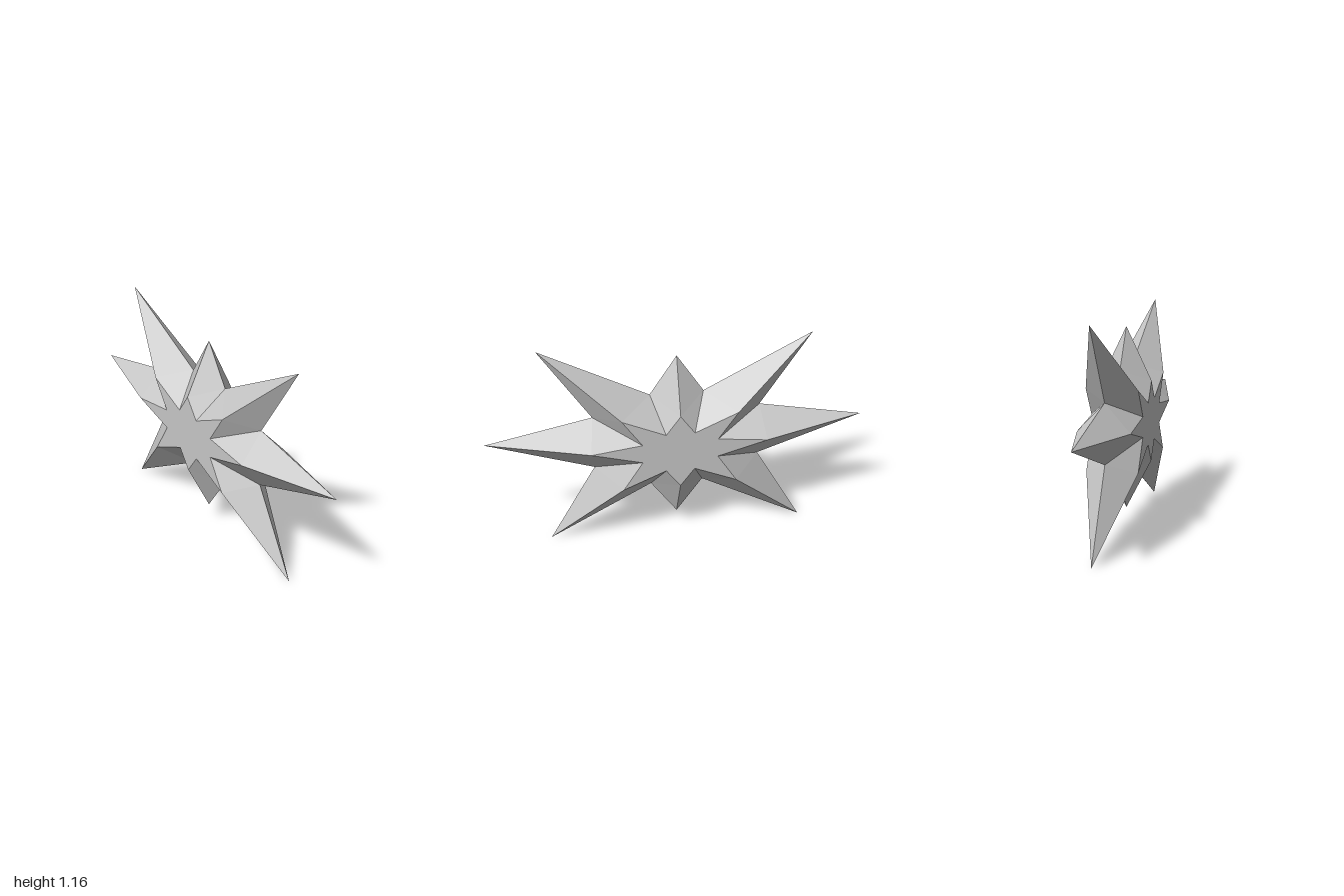
import * as THREE from 'three';

// Right half of each outline, top to bottom, alternating tip and valley
const RIM = [[0, 1.08], [0.14, 0.865], [0.7, 1.16], [0.44, 0.755], [1, 0.64], [0.44, 0.445], [0.695, 0], [0.14, 0.305], [0, 0.105]];
const FACE = [[0, 0.8], [0.075, 0.695], [0.3, 0.797], [0.197, 0.645], [0.46, 0.612], [0.197, 0.538], [0.3, 0.375], [0.075, 0.473], [0, 0.37]];
const DEPTH = 0.135;

// Mirror a half outline into a closed clockwise loop
function mirrorLoop(half) {
  const left = half.slice(1, -1).reverse().map(([x, y]) => [-x, y]);
  return [...half, ...left];
}

// Sloping facets from the sharp rim up to the flat star, on one side
function spikeGeometry(rim, face, side) {
  const pos = [];
  const tri = (a, b, c) => pos.push(...a, ...(side > 0 ? [...c, ...b] : [...b, ...c]));
  const n = rim.length;
  const outer = (i) => [...rim[i % n], 0];
  const inner = (i) => [...face[i % n], side * DEPTH];
  for (let i = 0; i < n; i++) {
    const j = i + 1;
    if (i % 2 === 0) { // tip to valley
      tri(inner(i), outer(i), outer(j));
      tri(inner(i), outer(j), inner(j));
    } else { // valley to tip
      tri(inner(i), outer(i), inner(j));
      tri(outer(i), outer(j), inner(j));
    }
  }
  const geo = new THREE.BufferGeometry();
  geo.setAttribute('position', new THREE.Float32BufferAttribute(pos, 3));
  geo.computeVertexNormals();
  return geo;
}

export function createModel() {
  const model = new THREE.Group();
  model.name = 'facetedStar';
  const grey = new THREE.MeshStandardMaterial({ color: 0xc8c8c8, flatShading: true });
  grey.name = 'grey';

  const rim = mirrorLoop(RIM);
  const face = mirrorLoop(FACE);
  const shape = new THREE.Shape(face.map(([x, y]) => new THREE.Vector2(x, y)));

  for (const side of [1, -1]) {
    const label = side > 0 ? 'front' : 'back';
    const spikes = new THREE.Mesh(spikeGeometry(rim, face, side), grey);
    spikes.name = label + 'Spikes';

    // Flat star in the middle; the outline is symmetric, so a half turn makes the back
    const flat = new THREE.Mesh(new THREE.ShapeGeometry(shape), grey);
    flat.name = label + 'FlatStar';
    flat.position.z = side * DEPTH;
    if (side < 0) flat.rotation.y = Math.PI;
    model.add(spikes, flat);
  }
  return model;
}
